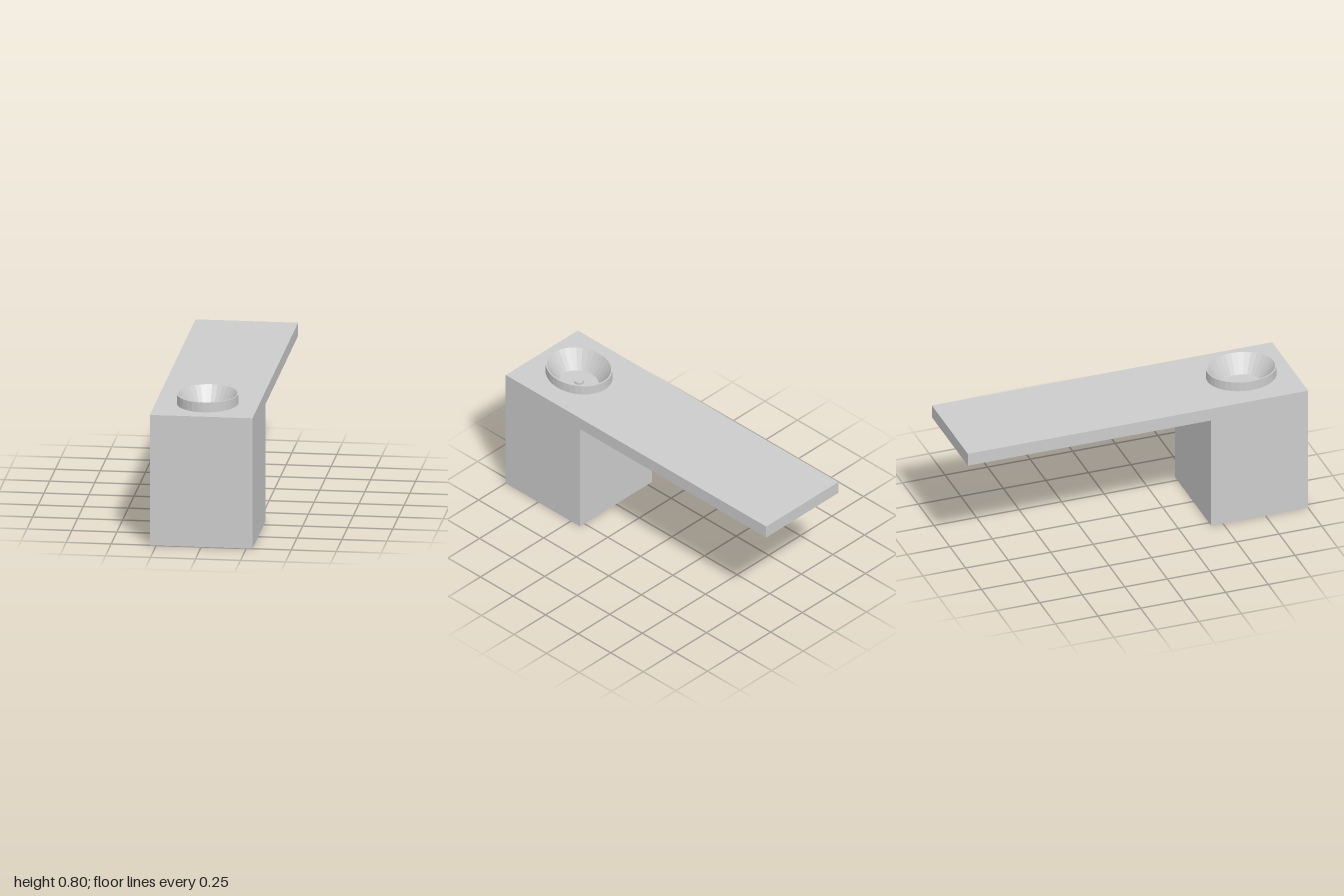
import * as THREE from 'three';

const W = 0.57;               // width of cabinet and counter
const TOP = 0.745;            // counter surface
const SLAB = 0.075;           // counter thickness
const BASIN_Z = 0.713;

export function createModel() {
  const group = new THREE.Group();
  const material = new THREE.MeshStandardMaterial({ color: 0xcccccc, flatShading: true });
  const add = (name, geometry, x, y, z) => {
    const mesh = new THREE.Mesh(geometry, material);
    mesh.name = name;
    mesh.position.set(x, y, z);
    group.add(mesh);
    return mesh;
  };

  // Cabinet block under the front end of the counter
  const cabinetH = TOP - SLAB;
  add('cabinet', new THREE.BoxGeometry(W, cabinetH, 0.57), 0, cabinetH / 2, 0.715);

  // Long counter slab, cut out under the basin rim
  const slab = new THREE.Shape([
    new THREE.Vector2(-W / 2, -1), new THREE.Vector2(W / 2, -1),
    new THREE.Vector2(W / 2, 1), new THREE.Vector2(-W / 2, 1),
  ]);
  slab.holes.push(new THREE.Path().absellipse(0, -BASIN_Z, 0.15, 0.175, 0, Math.PI * 2, true));
  const counter = new THREE.ExtrudeGeometry(slab, { depth: SLAB, bevelEnabled: false, curveSegments: 32 });
  counter.rotateX(-Math.PI / 2);
  add('counter', counter, 0, TOP - SLAB, 0);

  // Oval basin: floor, sloping bowl, thin rim and outer wall, stretched along z
  const profile = [[0, 0.693], [0.1, 0.693], [0.163, 0.8], [0.17, 0.8], [0.17, TOP]]
    .map(([r, y]) => new THREE.Vector2(r, y));
  const basinGeometry = new THREE.LatheGeometry(profile.reverse(), 32);
  // Points run from the outer wall inward, so the faces point up and out
  const basin = add('basin', basinGeometry, 0, 0, BASIN_Z);
  basin.scale.z = 0.198 / 0.17;
  basin.material = material.clone();
  basin.material.side = THREE.DoubleSide;

  // Small round drain in the basin floor
  add('drain', new THREE.CylinderGeometry(0.026, 0.026, 0.014, 32), 0, 0.699, BASIN_Z);

  return group;
}
